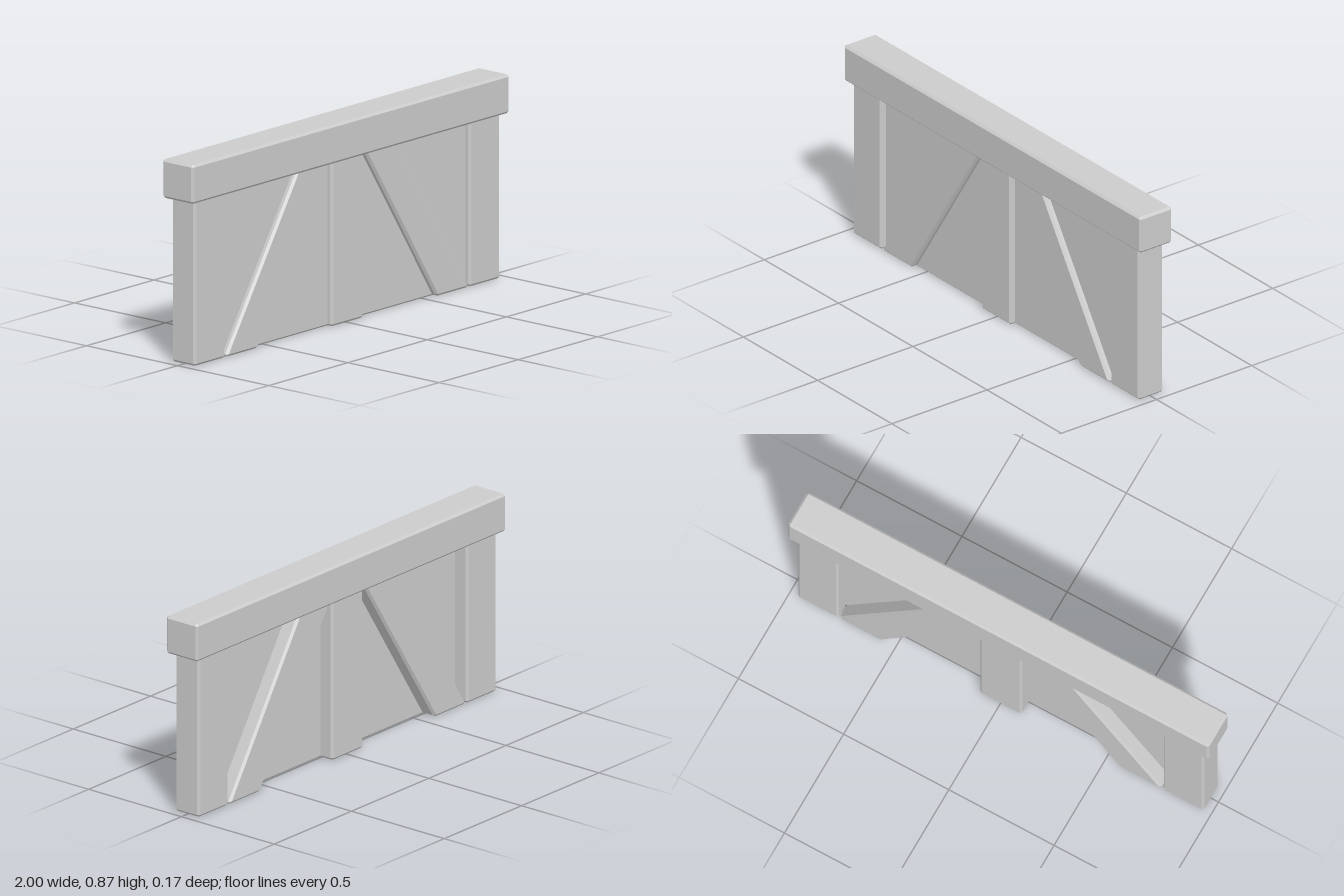
import * as THREE from 'three';
import { ConvexGeometry } from 'three/addons/geometries/ConvexGeometry.js';

const material = new THREE.MeshStandardMaterial({ color: 0xcccccc, flatShading: true });

// Prism with every edge chamfered: counter-clockwise outline in x/y, from z0 to z1
function chamferedPrism(outline, z0, z1, c = 0.01) {
  const points = [];
  outline.forEach((corner, i) => {
    const p = new THREE.Vector2(...corner);
    const prev = new THREE.Vector2(...outline[(i + outline.length - 1) % outline.length]);
    const next = new THREE.Vector2(...outline[(i + 1) % outline.length]);
    const u = prev.sub(p).normalize();
    const v = next.sub(p).normalize();
    const k = c / Math.abs(u.cross(v));
    const onU = p.clone().addScaledVector(u, k);
    const onV = p.clone().addScaledVector(v, k);
    const inner = onU.clone().addScaledVector(v, k);
    for (const [z, s] of [[z0, 1], [z1, -1]]) {
      points.push(
        new THREE.Vector3(inner.x, inner.y, z),
        new THREE.Vector3(onU.x, onU.y, z + s * c),
        new THREE.Vector3(onV.x, onV.y, z + s * c));
    }
  });
  return new ConvexGeometry(points);
}

const rect = (x0, x1, y0, y1) => [[x0, y0], [x1, y0], [x1, y1], [x0, y1]];

export function createModel() {
  const model = new THREE.Group();
  const add = (name, outline, z0, z1, c) => {
    const mesh = new THREE.Mesh(chamferedPrism(outline, z0, z1, c), material);
    mesh.name = name;
    model.add(mesh);
  };

  const joint = 0.72; // uprights end just inside the rail

  // Top rail and thin infill panel, set towards the front
  add('topRail', rect(-1, 1, 0.703, 0.87), -0.085, 0.085);
  add('panel', rect(-0.95, 0.95, 0, joint), 0, 0.04, 0.008);

  // Upright posts
  add('centerPost', rect(-0.1, 0.1, 0, joint), -0.065, 0.065);
  for (const [side, s] of [['left', 1], ['right', -1]]) {
    const x = s * 0.868;
    add(side + 'Post', rect(x - 0.097, x + 0.097, 0, joint), -0.065, 0.065);

    // Diagonal brace leaning in towards the centre post
    const brace = [[0.565, 0], [0.77, 0], [0.308, joint], [0.103, joint]];
    add(side + 'Brace', brace.map(([bx, by]) => [s * bx, by]), -0.065, 0.065);
  }
  return model;
}
